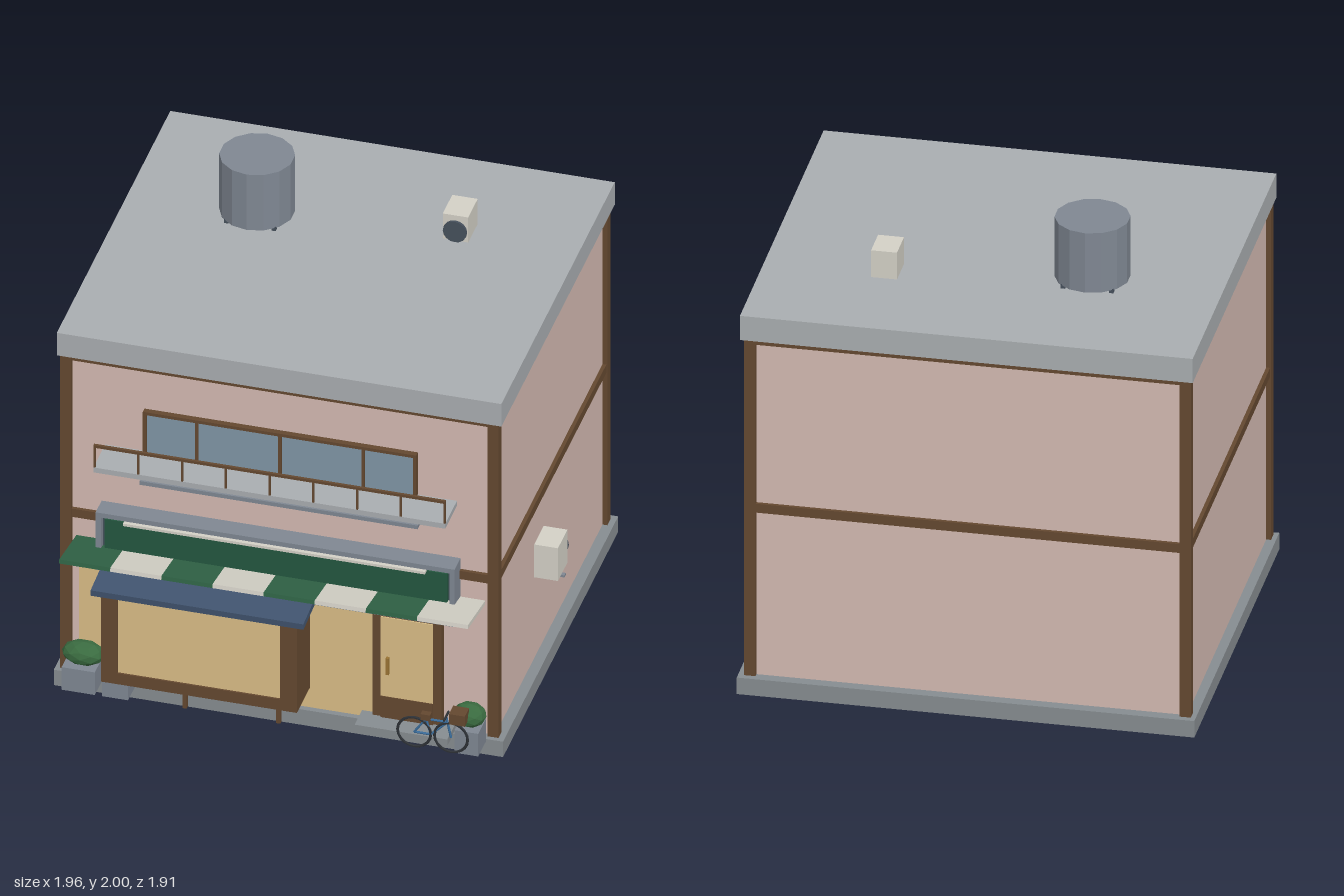
import * as THREE from 'three';

const C = {
  pink: 0xd3b9b1, wood: 0x644830, roof: 0xa9adb0, slab: 0x868c90, cream: 0xd3d0c6, tan: 0xd9bd86,
  glass: 0x8096a6, steel: 0x7f8792, dark: 0x46505c, green: 0x2f6245, signGreen: 0x24573f,
  navy: 0x41546f, leaf: 0x3a6b40, brass: 0x9a7434, tyre: 0x2c3035, bike: 0x3a6c9a,
};

export function createModel() {
  const root = new THREE.Group();
  const mats = {};
  const mat = (c) => (mats[c] ??= new THREE.MeshStandardMaterial({ color: c, flatShading: true }));

  function add(name, geo, color, x = 0, y = 0, z = 0, parent = root) {
    const m = new THREE.Mesh(geo, mat(color));
    m.name = name;
    m.position.set(x, y, z);
    parent.add(m);
    return m;
  }
  // Box given by its extents
  const box = (name, color, x0, x1, y0, y1, z0, z1, parent) =>
    add(name, new THREE.BoxGeometry(x1 - x0, y1 - y0, z1 - z0), color,
      (x0 + x1) / 2, (y0 + y1) / 2, (z0 + z1) / 2, parent);
  // Rectangular frame with an opening, facing +z
  function frame(name, color, x0, x1, y0, y1, side, bottom, z0, z1, top = side) {
    const s = new THREE.Shape([[x0, y0], [x1, y0], [x1, y1], [x0, y1]].map((p) => new THREE.Vector2(...p)));
    const a = x0 + side, b = x1 - side, c = y0 + bottom, d = y1 - top;
    s.holes.push(new THREE.Path([[a, c], [a, d], [b, d], [b, c]].map((p) => new THREE.Vector2(...p))));
    return add(name, new THREE.ExtrudeGeometry(s, { depth: z1 - z0, bevelEnabled: false }), color, 0, 0, z0);
  }
  // Round bar between two points
  function bar(name, color, a, b, r, parent = root) {
    const p = new THREE.Vector3(...a), q = new THREE.Vector3(...b);
    const m = add(name, new THREE.CylinderGeometry(r, r, p.distanceTo(q), 6), color, 0, 0, 0, parent);
    m.position.copy(p).lerp(q, 0.5);
    m.quaternion.setFromUnitVectors(new THREE.Vector3(0, 1, 0), q.sub(p).normalize());
    return m;
  }

  // Building shell
  box('foundation', C.slab, -0.98, 0.91, 0, 0.075, -0.958, 0.735);
  box('walls', C.pink, -0.94, 0.865, 0.075, 1.605, -0.912, 0.695);
  box('roofSlab', C.roof, -0.97, 0.9, 1.605, 1.715, -0.942, 0.725);
  for (const x of [-0.96, 0.838])
    for (const z of [-0.931, 0.667]) box('cornerPost', C.wood, x, x + 0.047, 0.075, 1.605, z, z + 0.047);
  for (const [y0, y1] of [[0.818, 0.858], [1.582, 1.605]]) {
    box('frontBeam', C.wood, -0.93, 0.855, y0, y1, 0.68, 0.71);
    box('backBeam', C.wood, -0.93, 0.855, y0, y1, -0.927, -0.89);
    box('rightBeam', C.wood, -0.956, -0.92, y0, y1, -0.9, 0.68);
    box('leftBeam', C.wood, 0.845, 0.881, y0, y1, -0.9, 0.68);
  }

  // Rooftop tank
  const tx = -0.43, tz = -0.333;
  add('waterTank', new THREE.CylinderGeometry(0.154, 0.154, 0.27, 14), C.steel, tx, 1.865, tz);
  for (const dx of [-0.1, 0.1])
    for (const dz of [-0.1, 0.1])
      box('tankLeg', C.dark, tx + dx - 0.009, tx + dx + 0.009, 1.715, 1.735, tz + dz - 0.009, tz + dz + 0.009);

  // Air conditioners on the roof and the side wall
  box('roofUnit', C.cream, 0.343, 0.45, 1.715, 1.837, -0.5, -0.36);
  box('sideUnit', C.cream, 0.865, 0.965, 0.47, 0.63, -0.02, 0.12);
  box('sideUnitBracket', C.steel, 0.865, 0.975, 0.45, 0.46, 0.04, 0.06);
  for (const [x, y, z] of [[0.396, 1.763, -0.356], [0.918, 0.55, -0.024]])
    add('unitFan', new THREE.CylinderGeometry(0.05, 0.05, 0.014, 16), C.dark, x, y, z).rotation.x = Math.PI / 2;

  // Upper window
  box('windowGlass', C.glass, -0.6, 0.53, 1.065, 1.385, 0.69, 0.705);
  frame('windowFrame', C.wood, -0.61, 0.54, 1.06, 1.393, 0.014, 0.014, 0.69, 0.72);
  for (const x of [-0.385, -0.035, 0.315]) box('windowMullion', C.wood, x - 0.006, x + 0.006, 1.07, 1.385, 0.69, 0.718);
  box('windowSill', C.steel, -0.62, 0.55, 1.043, 1.061, 0.69, 0.732);

  // Balcony
  box('balconyFloor', C.roof, -0.775, 0.705, 1.163, 1.187, 0.69, 0.868);
  box('balconyRail', C.wood, -0.775, 0.705, 1.285, 1.297, 0.858, 0.87);
  for (let i = 0; i <= 8; i++) {
    const x = -0.771 + i * 0.184;
    box('balconyPost', C.wood, x - 0.004, x + 0.004, 1.187, 1.29, 0.86, 0.868);
  }

  // Blank sign box with a light strip
  frame('signFrame', C.steel, -0.79, 0.72, 0.63, 0.91, 0.022, 0.022, 0.69, 0.783);
  box('signBack', C.dark, -0.775, 0.705, 0.645, 0.895, 0.69, 0.75);
  box('signPanel', C.signGreen, -0.755, 0.685, 0.66, 0.878, 0.74, 0.775);
  box('signLight', C.cream, -0.67, 0.6, 0.876, 0.888, 0.76, 0.8);

  // Striped awning, tilted upward
  const awning = new THREE.Group();
  awning.name = 'awning';
  awning.position.set(0, 0.716, 0.7);
  awning.rotation.x = -0.175;
  root.add(awning);
  for (let i = 0; i < 8; i++) {
    const x = -0.895 + i * 0.215;
    box('awningStripe', i % 2 ? C.cream : C.green, x, x + 0.215, -0.009, 0.009, 0, 0.257, awning);
  }

  // Shopfront
  box('shopPanel', C.tan, -0.88, 0.64, 0.075, 0.645, 0.68, 0.71);
  frame('displayFrame', C.wood, -0.735, 0.09, 0.17, 0.62, 0.07, 0.053, 0.7, 0.9, 0.025);
  box('displayGlass', C.tan, -0.67, 0.025, 0.215, 0.605, 0.72, 0.892);
  for (const x of [-0.395, 0]) box('displayLeg', C.wood, x - 0.009, x + 0.009, 0.075, 0.18, 0.84, 0.858);
  box('displayRoof', C.navy, -0.77, 0.125, 0.609, 0.637, 0.7, 0.927).rotation.x = 0.09;

  // Door and step
  frame('doorFrame', C.wood, 0.36, 0.65, 0.075, 0.62, 0.04, 0.02, 0.69, 0.73, 0.033);
  box('doorPane', C.tan, 0.395, 0.615, 0.2, 0.59, 0.69, 0.735);
  box('doorKickPlate', C.wood, 0.395, 0.615, 0.08, 0.205, 0.69, 0.738);
  box('doorHandle', C.brass, 0.42, 0.433, 0.32, 0.4, 0.73, 0.75);
  box('doorStep', C.slab, 0.31, 0.7, 0.07, 0.102, 0.69, 0.82);

  // Planters and shrubs
  for (const [x, w, y1] of [[-0.84, 0.14, 0.185], [-0.685, 0.11, 0.17], [0.793, 0.1, 0.185]])
    box('planter', C.steel, x - w / 2, x + w / 2, 0.075, y1, 0.75, 0.865);
  for (const [x, r] of [[-0.835, 0.09], [0.79, 0.07]])
    add('shrub', new THREE.IcosahedronGeometry(r, 1), C.leaf, x, 0.232, 0.805).scale.set(1, 0.052 / r, 0.06 / r);

  // Bicycle
  const bike = new THREE.Group();
  bike.name = 'bicycle';
  bike.position.z = 0.87;
  root.add(bike);
  for (const x of [0.575, 0.73]) add('wheel', new THREE.TorusGeometry(0.07, 0.006, 6, 20), C.tyre, x, 0.15, 0, bike);
  const rear = [0.575, 0.15, 0], crank = [0.645, 0.15, 0], seat = [0.625, 0.222, 0], head = [0.715, 0.222, 0];
  for (const [a, b] of [[rear, crank], [rear, seat], [crank, seat], [crank, head], [seat, head], [head, [0.73, 0.15, 0]]])
    bar('bikeTube', C.bike, a, b, 0.005, bike);
  bar('steeringPost', C.bike, head, [0.71, 0.25, 0], 0.005, bike);
  bar('handlebar', C.tyre, [0.71, 0.25, -0.035], [0.71, 0.25, 0.035], 0.005, bike);
  box('saddle', C.wood, 0.605, 0.645, 0.222, 0.25, -0.014, 0.014, bike);
  box('basket', C.wood, 0.73, 0.797, 0.235, 0.285, -0.032, 0.032, bike);

  return root;
}
